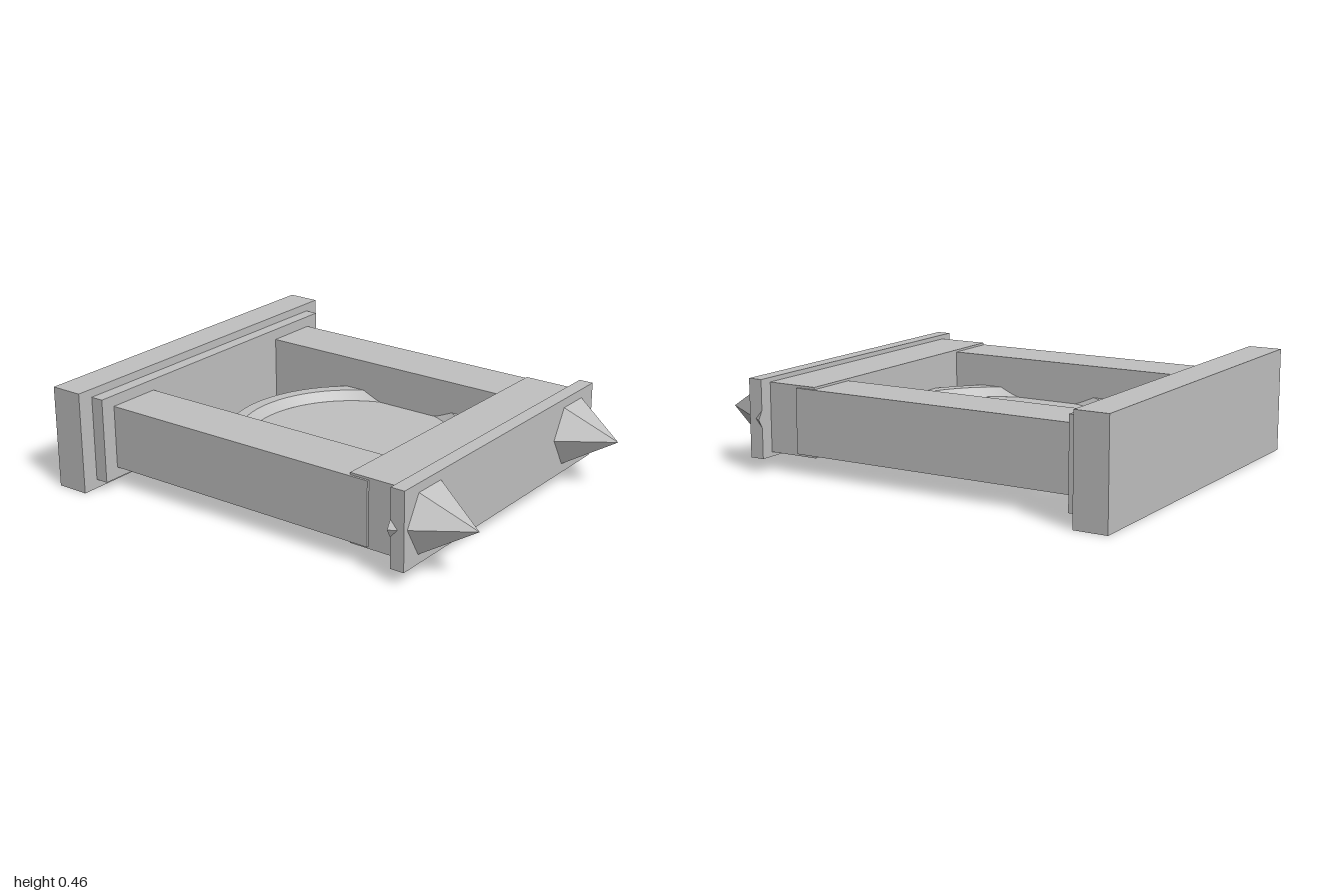
import * as THREE from 'three';
import { toCreasedNormals } from 'three/addons/utils/BufferGeometryUtils.js';

export function createModel() {
  const model = new THREE.Group();
  model.name = 'spikedFrame';
  const grey = new THREE.MeshStandardMaterial({ color: 0xc0c0c0 });
  grey.name = 'stone grey';

  function add(name, geometry) {
    const mesh = new THREE.Mesh(geometry, grey);
    mesh.name = name;
    model.add(mesh);
    return mesh;
  }

  // Box given by its limits on each axis
  function block(name, x0, x1, y0, y1, z0, z1) {
    add(name, new THREE.BoxGeometry(x1 - x0, y1 - y0, z1 - z0))
      .position.set((x0 + x1) / 2, (y0 + y1) / 2, (z0 + z1) / 2);
  }

  // Back plate with its step, front beam with its face plate
  block('backPlate', -0.825, 0.825, 0, 0.462, -1, -0.85);
  block('backStep', -0.75, 0.75, 0.04, 0.425, -0.85, -0.79);
  block('frontBeam', -0.67, 0.67, 0.08, 0.385, 0.47, 0.708);
  block('frontPlate', -0.73, 0.73, 0.06, 0.405, 0.705, 0.77);

  // Side rails and six-sided spikes, mirrored
  const spike = toCreasedNormals(
    new THREE.ConeGeometry(0.195, 0.295, 6).rotateY(Math.PI / 6).rotateX(Math.PI / 2), 0.3);
  for (const [side, s] of [['left', 1], ['right', -1]]) {
    block(side + 'Rail', s * 0.555 - 0.125, s * 0.555 + 0.125, 0.09, 0.375, -0.79, 0.56);
    add(side + 'Spike', spike).position.set(s * 0.557, 0.233, 0.8525);
  }

  // Round ring with an eight-sided section
  const section = [];
  for (let i = 0; i <= 8; i++) {
    const a = (i + 0.5) * Math.PI / 4;
    section.push(new THREE.Vector2(0.522 + 0.071 * Math.cos(a), 0.071 * Math.sin(a)));
  }
  add('ring', toCreasedNormals(new THREE.LatheGeometry(section, 64), 0.5))
    .position.set(0, 0.165, -0.02);

  // Thin disc closing the ring
  add('disc', new THREE.CylinderGeometry(0.46, 0.46, 0.01, 64)).position.set(0, 0.187, -0.02);

  return model;
}
